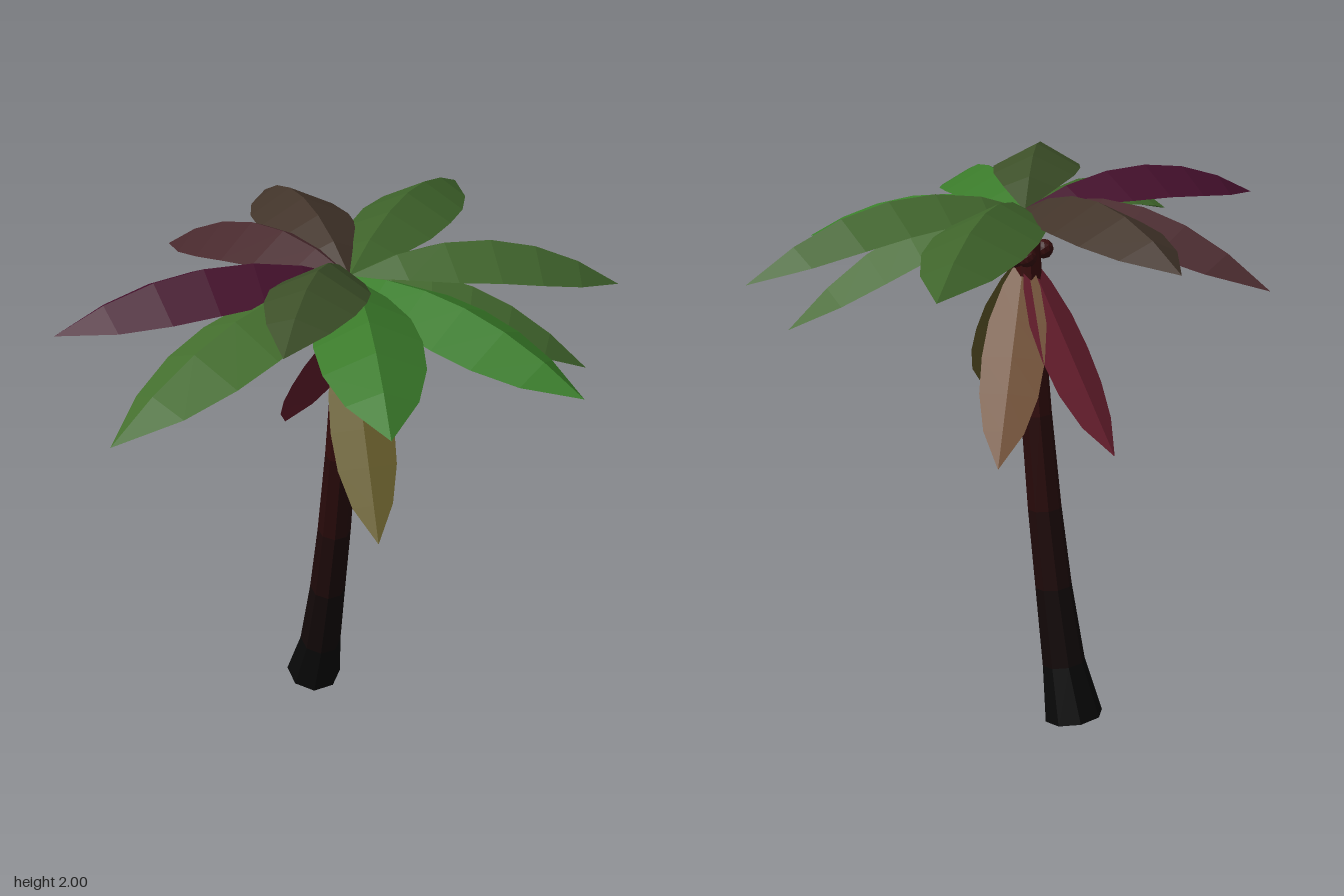
import * as THREE from 'three';

const mat = (color) => new THREE.MeshStandardMaterial({
  color, flatShading: true, roughness: 0.9, side: THREE.DoubleSide });

// Join equal-length rows of points into a strip of quads
function loft(rows) {
  const n = rows[0].length, index = [];
  for (let i = 0; i < rows.length - 1; i++)
    for (let j = 0; j < n - 1; j++) {
      const a = i * n + j, b = a + n;
      index.push(a, b, a + 1, a + 1, b, b + 1);
    }
  const g = new THREE.BufferGeometry().setFromPoints(rows.flat());
  g.setIndex(index);
  g.computeVertexNormals();
  return g;
}

// Folded leaf: a curved midrib with both blades falling away from it
function frond(start, ctrlY, tip, halfWidth, fold, color) {
  const a = new THREE.Vector3(...start), c = new THREE.Vector3(...tip);
  const b = a.clone().lerp(c, 0.5).setY(ctrlY);
  const rib = new THREE.QuadraticBezierCurve3(a, b, c);
  const side = new THREE.Vector3(c.z - a.z, 0, a.x - c.x).normalize();
  const profile = [0.05, 0.6, 0.92, 1, 0.93, 0.64, 0];
  const rows = profile.map((w, i) => {
    const t = i / (profile.length - 1), p = rib.getPoint(t);
    const up = rib.getTangent(t).cross(side).normalize();
    const edge = (s) => p.clone().addScaledVector(side, s * w * halfWidth)
      .addScaledVector(up, -fold * w);
    return [edge(1), p, edge(-1)];
  });
  return new THREE.Mesh(loft(rows), mat(color));
}

export function createModel() {
  const model = new THREE.Group();
  model.name = 'palmTree';

  // Leaning trunk: [x, y, z, radius, tilt] per ring, dark at the foot
  const rings = [
    [-0.035, 0.029, -0.256, 0.106, 0.27], [-0.028, 0.23, -0.2, 0.078, 0.25],
    [-0.02, 0.52, -0.145, 0.066, 0.18], [-0.012, 0.81, -0.1, 0.06, 0.14],
    [-0.004, 1.15, -0.06, 0.054, 0.11], [0, 1.5, -0.025, 0.048, 0.08],
    [0, 1.84, -0.005, 0.042, 0.04]];
  const sides = 8;
  const rows = rings.map(([x, y, z, r, tilt]) =>
    Array.from({ length: sides + 1 }, (_, k) => {
      const u = (k + 0.5) / sides * Math.PI * 2, d = r * Math.sin(u);
      return new THREE.Vector3(x + r * Math.cos(u), y - d * Math.sin(tilt), z + d * Math.cos(tilt));
    }));
  const trunk = new THREE.Group();
  trunk.name = 'trunk';
  const dark = new THREE.Color(0x080808), red = new THREE.Color(0x3a0c0c);
  for (let i = 0; i < rows.length - 1; i++) {
    const section = new THREE.Mesh(loft([rows[i], rows[i + 1]]),
      mat(dark.clone().lerp(red, (i / (rows.length - 2)) ** 1.5)));
    section.name = 'trunkSection';
    trunk.add(section);
  }
  // Underside of the trunk
  const [fx, fy, fz] = rings[0];
  const foot = new THREE.Mesh(
    loft([rows[0].map(() => new THREE.Vector3(fx, fy, fz)), rows[0]]), mat(dark));
  foot.name = 'trunkFoot';
  trunk.add(foot);
  model.add(trunk);

  // Crown leaves: control height, tip, half width, colour
  const crown = [
    [2.06, [-0.93, 1.8, -0.08], 0.165, 0x44102c],
    [1.98, [-0.91, 1.66, 0.37], 0.16, 0x45702f],
    [2.14, [-0.42, 1.87, 0.46], 0.15, 0x3c4f28],
    [2.0, [-0.27, 1.77, 0.83], 0.16, 0x3a7a2a],
    [1.94, [0.42, 1.67, 0.72], 0.16, 0x387c28],
    [2.05, [0.92, 1.7, 0.16], 0.16, 0x41652d],
    [1.925, [0.73, 1.49, 0.29], 0.15, 0x446a2f],
    [2.05, [0.74, 1.81, -0.65], 0.16, 0x3f642b],
    [2.06, [0.06, 1.82, -0.84], 0.16, 0x42342a],
    [2.03, [-0.33, 1.7, -0.8], 0.16, 0x48292d]];
  for (const [ctrl, tip, w, color] of crown) {
    const leaf = frond([0, 1.845, 0], ctrl, tip, w, 0.08, color);
    leaf.name = 'crownFrond';
    model.add(leaf);
  }

  // Withered leaves hanging below the crown
  const hanging = [
    [[-0.09, 1.1, 0.41], 0x6c622f],
    [[0.31, 1.1, -0.29], 0x6e4a2a],
    [[-0.06, 1.1, -0.42], 0x6c2030]];
  for (const [tip, color] of hanging) {
    const leaf = frond([0, 1.71, 0], 1.41, tip, 0.105, 0.025, color);
    leaf.name = 'hangingFrond';
    model.add(leaf);
  }

  // Coconuts around the neck
  const nutGeometry = new THREE.IcosahedronGeometry(0.033, 1);
  for (const [x, y, z] of [[-0.064, 1.705, -0.015], [0.064, 1.697, -0.03],
    [-0.032, 1.7, 0.02], [0.035, 1.7, -0.06]]) {
    const nut = new THREE.Mesh(nutGeometry, mat(0x3a1010));
    nut.name = 'coconut';
    nut.position.set(x, y, z);
    model.add(nut);
  }
  return model;
}
